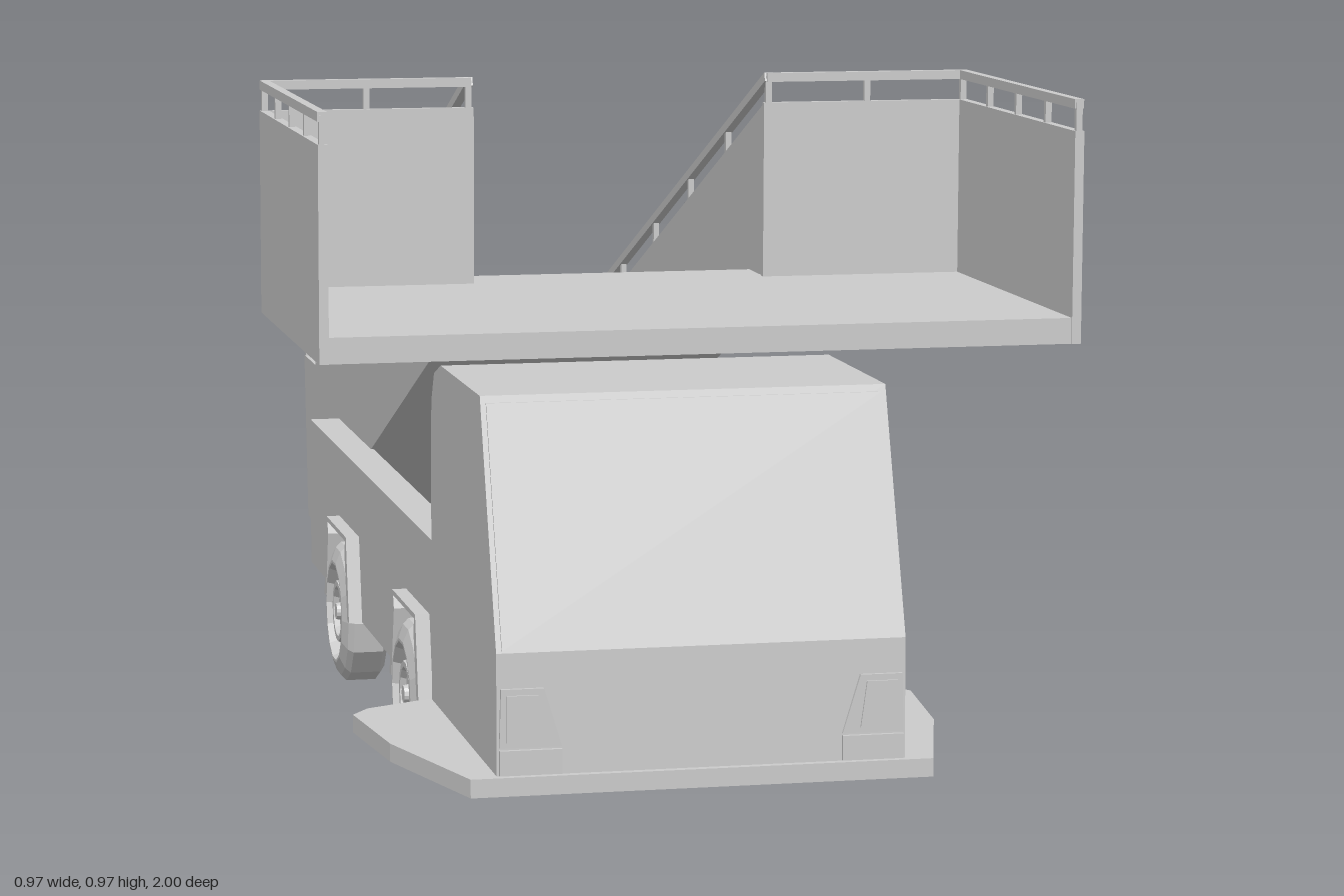
import * as THREE from 'three';

export function createModel() {
  const model = new THREE.Group();
  const mat = new THREE.MeshStandardMaterial({ color: 0xcccccc, flatShading: true, side: THREE.DoubleSide });

  const add = (name, geo) => {
    const m = new THREE.Mesh(geo, mat);
    m.name = name;
    model.add(m);
    return m;
  };
  // Box given by its limits
  const box = (name, x0, x1, y0, y1, z0, z1) =>
    add(name, new THREE.BoxGeometry(Math.abs(x1 - x0), y1 - y0, z1 - z0))
      .position.set((x0 + x1) / 2, (y0 + y1) / 2, (z0 + z1) / 2);
  // Side profile of [z, y] points extruded across x
  const profile = (name, pts, x0, x1, hole) => {
    const v = p => p.map(([z, y]) => new THREE.Vector2(-z, y));
    const shape = new THREE.Shape(v(pts));
    if (hole) shape.holes.push(new THREE.Path(v(hole)));
    const lo = Math.min(x0, x1);
    const geo = new THREE.ExtrudeGeometry(shape, { depth: Math.abs(x1 - x0), bevelEnabled: false });
    return add(name, geo.rotateY(Math.PI / 2).translate(lo, 0, 0));
  };
  // Square bar between two points
  const bar = (name, a, b, t = 0.012) => {
    const p = new THREE.Vector3(...a), q = new THREE.Vector3(...b);
    const m = add(name, new THREE.BoxGeometry(t, t, p.distanceTo(q) + t * 0.5));
    m.position.copy(p).lerp(q, 0.5);
    m.lookAt(q);
  };

  // Cab
  profile('cab', [[0.99, 0.12], [0.987, 0.285], [0.88, 0.595], [0.6, 0.595], [0.55, 0.578],
    [0.53, 0.54], [0.525, 0.5], [0.525, 0.12]], -0.265, 0.265);
  profile('windshield', [[0.989, 0.288], [0.886, 0.586], [0.87, 0.586], [0.97, 0.288]], -0.258, 0.258);

  // Skirt under the cab, flared to both sides
  const half = [[0.3, 1], [0.365, 0.78], [0.385, 0.6], [0.36, 0.565], [0.265, 0.52]];
  const outline = [...half, ...half.map(([x, z]) => [-x, z]).reverse()];
  const skirt = new THREE.Shape(outline.map(([x, z]) => new THREE.Vector2(x, -z)));
  add('bumperSkirt', new THREE.ExtrudeGeometry(skirt, { depth: 0.024, bevelEnabled: false })
    .rotateX(-Math.PI / 2).translate(0, 0.105, 0));

  // Load bed with lift equipment
  box('bedFloor', -0.21, 0.21, 0.11, 0.17, -0.61, 0.53);
  box('liftBase', -0.15, 0.15, 0.17, 0.33, 0.24, 0.42);
  for (const x of [-0.13, 0.13]) box('liftPost', x - 0.015, x + 0.015, 0.17, 0.3, 0.1, 0.13);
  box('liftCrossbar', -0.145, 0.145, 0.28, 0.3, 0.1, 0.13);

  // Wheel turned around its axle: tyre, rim lip, dish and hub
  const wheelPts = [[0, -0.03], [0.095, -0.03], [0.105, -0.022], [0.105, 0.022], [0.097, 0.03],
    [0.078, 0.037], [0.074, 0.037], [0.066, 0.02], [0.05, 0.02], [0.046, 0.032], [0.038, 0.032],
    [0.034, 0.024], [0.014, 0.024], [0.012, 0.034], [0, 0.034]].map(p => new THREE.Vector2(...p));
  const wheelGeo = new THREE.LatheGeometry(wheelPts, 14);
  const axles = [0.375, -0.23];

  for (const s of [1, -1]) {
    // Bed side with open wheel cutouts
    const edge = [[-0.62, 0.34], [0.525, 0.34], [0.525, 0.11]];
    for (const z of axles) edge.push([z + 0.108, 0.11], [z + 0.088, 0.23], [z - 0.088, 0.23], [z - 0.108, 0.11]);
    edge.push([-0.62, 0.11]);
    profile('bedSide', edge, s * 0.208, s * 0.258);

    for (const z of axles) {
      const w = add('wheel', wheelGeo);
      w.rotation.z = -s * Math.PI / 2;
      w.position.set(s * 0.245, 0.105, z);
      profile('wheelArch', [[z + 0.12, 0.11], [z + 0.094, 0.235], [z - 0.094, 0.235], [z - 0.12, 0.11],
        [z - 0.104, 0.11], [z - 0.08, 0.21], [z - 0.086, 0.228], [z + 0.086, 0.228], [z + 0.08, 0.21],
        [z + 0.104, 0.11]], s * 0.25, s * 0.278);
    }
    // Tail lamps
    for (let i = 0; i < 3; i++)
      box('tailLamp', s * 0.215, s * 0.251, 0.125 + i * 0.05, 0.168 + i * 0.05, -0.624, -0.615);

    // Headlight: tapered housing, raised lens and indicator
    const trap = (p, z, d) => new THREE.ExtrudeGeometry(
      new THREE.Shape(p.map(([x, y]) => new THREE.Vector2(s * x, y))), { depth: d, bevelEnabled: false }).translate(0, 0, z);
    add('headlightHousing', trap([[0.182, 0.165], [0.262, 0.165], [0.26, 0.24], [0.205, 0.24]], 0.975, 0.018));
    add('headlightLens', trap([[0.205, 0.172], [0.253, 0.172], [0.253, 0.232], [0.213, 0.232]], 0.98, 0.016));
    box('indicator', s * 0.182, s * 0.262, 0.13, 0.162, 0.97, 0.995);

    // Platform walls
    box('platformSide', s * 0.475, s * 0.487, 0.657, 0.927, 0.485, 1);
    box('platformBack', s * 0.2, s * 0.487, 0.657, 0.927, 0.485, 0.495);

    // Stair wall
    profile('stairSide', [[0.49, 0.657], [0.49, 0.927], [-0.87, 0.392], [-0.992, 0.392],
      [-0.96, 0.125], [-0.84, 0.125]], s * 0.202, s * 0.212);

    // Handrail following the walls
    const path = [[0.481, 0.961, 0.994], [0.481, 0.961, 0.49], [0.207, 0.961, 0.49],
      [0.207, 0.43, -0.87], [0.207, 0.43, -0.994]].map(([x, y, z]) => [s * x, y, z]);
    for (let i = 0; i < 4; i++) bar('handrail', path[i], path[i + 1]);
    const post = (x, y, z) => bar('railPost', [s * x, y - 0.045, z], [s * x, y, z], 0.008);
    for (let i = 0; i < 5; i++) post(0.481, 0.961, 0.994 - i * 0.126);
    post(0.345, 0.961, 0.49);
    for (let i = 0; i <= 6; i++) post(0.207, 0.961 - i * 0.0885, 0.49 - i * 0.2267);
    post(0.207, 0.43, -0.985);
  }

  // Platform deck
  box('platformDeck', -0.485, 0.485, 0.657, 0.69, 0.487, 0.998);

  // Staircase with sloping underside
  const steps = [[0.49, 0.657], [0.49, 0.69]];
  for (let i = 0; i < 16; i++) {
    const z = 0.41 - i * 0.0837, y = 0.69 - i * 0.0333;
    steps.push([z, y], [z, y - 0.0333]);
  }
  steps.push([-0.965, 0.157], [-0.96, 0.125], [-0.84, 0.125]);
  profile('staircase', steps, -0.204, 0.204);

  return model;
}
